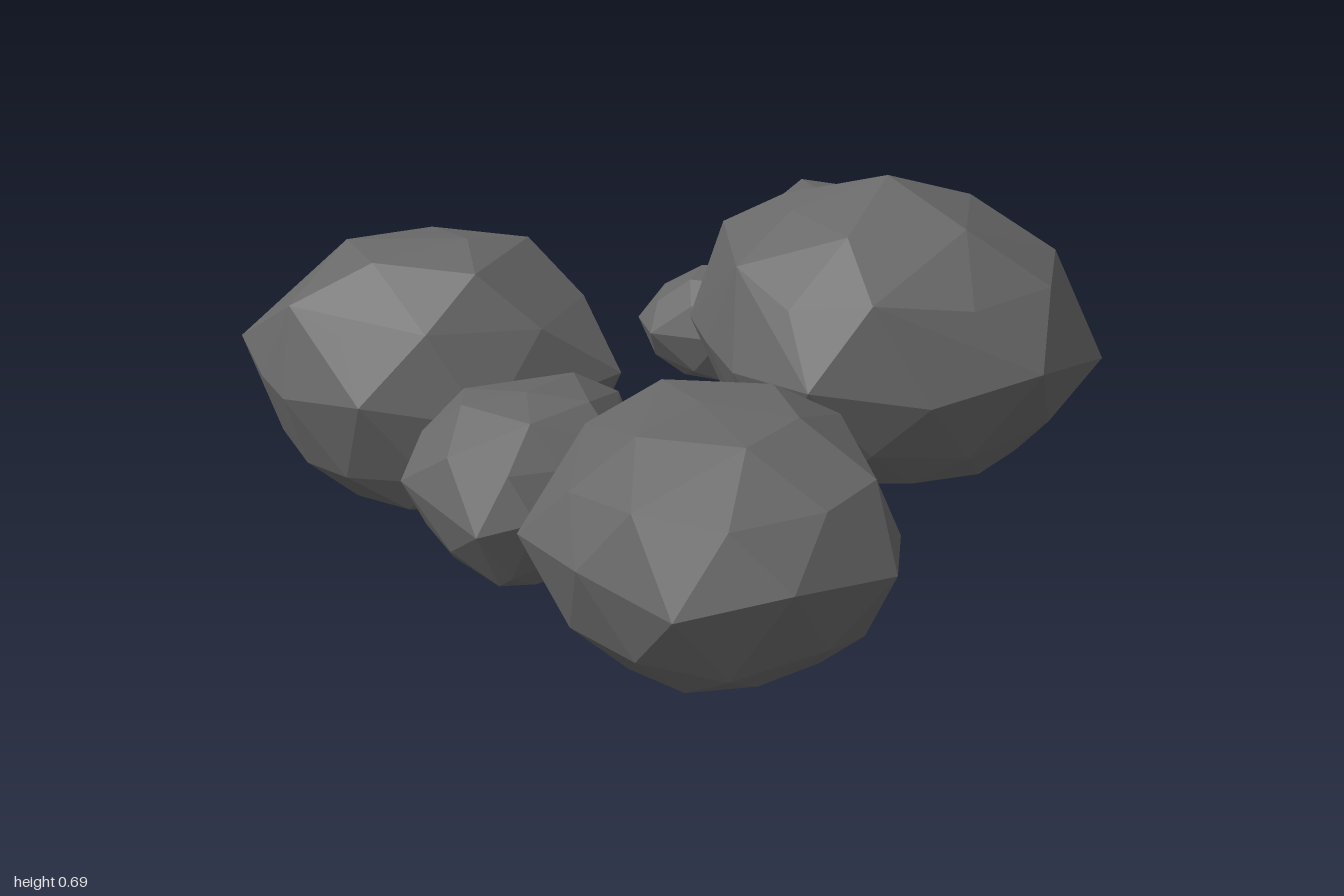
import * as THREE from 'three';
import { ConvexGeometry } from 'three/addons/geometries/ConvexGeometry.js';

// Faceted rock: the hull of staggered, slightly uneven rings that shrink from the
// widest outline of [x, z] towards the peak. A higher crown gives a flatter top.
function rock(name, material, [px, height, pz], crown, outline) {
  const n = outline.length;
  const peak = new THREE.Vector3(px, height, pz);
  const corners = outline.map(([x, z]) => new THREE.Vector3(x, height, z));
  // From base to crown: [share of height, share of outline]
  const rings = [[0, 0.62], [0.15, 0.86], [crown - 0.48, 1], [crown - 0.2, 0.87], [crown, 0.51]];

  const points = [peak];
  rings.forEach(([level, scale], r) => {
    corners.forEach((corner, i) => {
      const top = r === rings.length - 1;
      if (top && i % 2) return; // fewer, larger facets on top
      const wobble = Math.sin(height * 40 + r * 4.1 + i * 2.7);
      const uneven = scale < 1 ? 1 + 0.03 * wobble : 1;
      const lift = r === 0 || top ? 0 : 0.04 * wobble;
      const p = corner.clone();
      if (r % 2) p.lerp(corners[(i + 1) % n], 0.5); // half a step round
      p.sub(peak).multiplyScalar(scale * uneven).add(peak);
      points.push(p.setY(height * (level + lift)));
    });
  });

  const mesh = new THREE.Mesh(new ConvexGeometry(points), material);
  mesh.name = name;
  return mesh;
}

export function createModel() {
  const group = new THREE.Group();
  group.name = 'boulderCluster';
  const stone = new THREE.MeshStandardMaterial({ color: 0x696969, flatShading: true });
  stone.name = 'grey stone';

  // Right-hand heap: one large boulder with three stones behind it
  group.add(rock('largeBoulder', stone, [0.345, 0.69, 0.01], 0.88, [[0.12, -0.46], [0.24, -0.49],
    [0.53, -0.26], [0.72, -0.1], [0.79, 0.12], [0.69, 0.4], [0.42, 0.47], [0.17, 0.36],
    [-0.06, 0.19], [-0.06, -0.08], [0, -0.25]]));
  group.add(rock('sideStone', stone, [0.7, 0.345, -0.26], 0.97, [[0.74, -0.45], [0.84, -0.36],
    [0.86, -0.25], [0.82, -0.17], [0.73, -0.06], [0.58, -0.13], [0.52, -0.33], [0.6, -0.41]]));
  group.add(rock('smallStone', stone, [0.39, 0.265, -0.61], 0.97, [[0.16, -0.67], [0.2, -0.77],
    [0.33, -0.79], [0.46, -0.74], [0.54, -0.63], [0.62, -0.52], [0.57, -0.43], [0.44, -0.42],
    [0.25, -0.5]]));
  group.add(rock('cornerStone', stone, [0.77, 0.37, -0.74], 0.95, [[0.47, -0.68], [0.55, -0.87],
    [0.87, -0.95], [1, -0.86], [0.98, -0.72], [0.94, -0.63], [0.78, -0.53], [0.6, -0.59]]));

  // Left-hand row of three boulders
  group.add(rock('backBoulder', stone, [-0.53, 0.605, -0.47], 0.95, [[-0.86, -0.95], [-0.59, -0.93],
    [-0.47, -0.83], [-0.32, -0.64], [-0.22, -0.44], [-0.32, -0.17], [-0.68, -0.2], [-0.9, -0.39],
    [-0.955, -0.62], [-0.94, -0.73]]));
  group.add(rock('middleBoulder', stone, [-0.67, 0.39, -0.06], 0.95, [[-0.8, -0.34], [-0.55, -0.38],
    [-0.32, -0.18], [-0.4, 0], [-0.47, 0.14], [-0.65, 0.18], [-0.82, 0.17], [-0.93, 0.1],
    [-0.92, -0.2]]));
  group.add(rock('frontBoulder', stone, [-0.63, 0.535, 0.5], 0.97, [[-0.55, 0.15], [-0.28, 0.32],
    [-0.22, 0.49], [-0.28, 0.64], [-0.37, 0.84], [-0.47, 0.94], [-0.74, 0.93], [-0.95, 0.8],
    [-1, 0.55], [-0.95, 0.28]]));
  return group;
}
